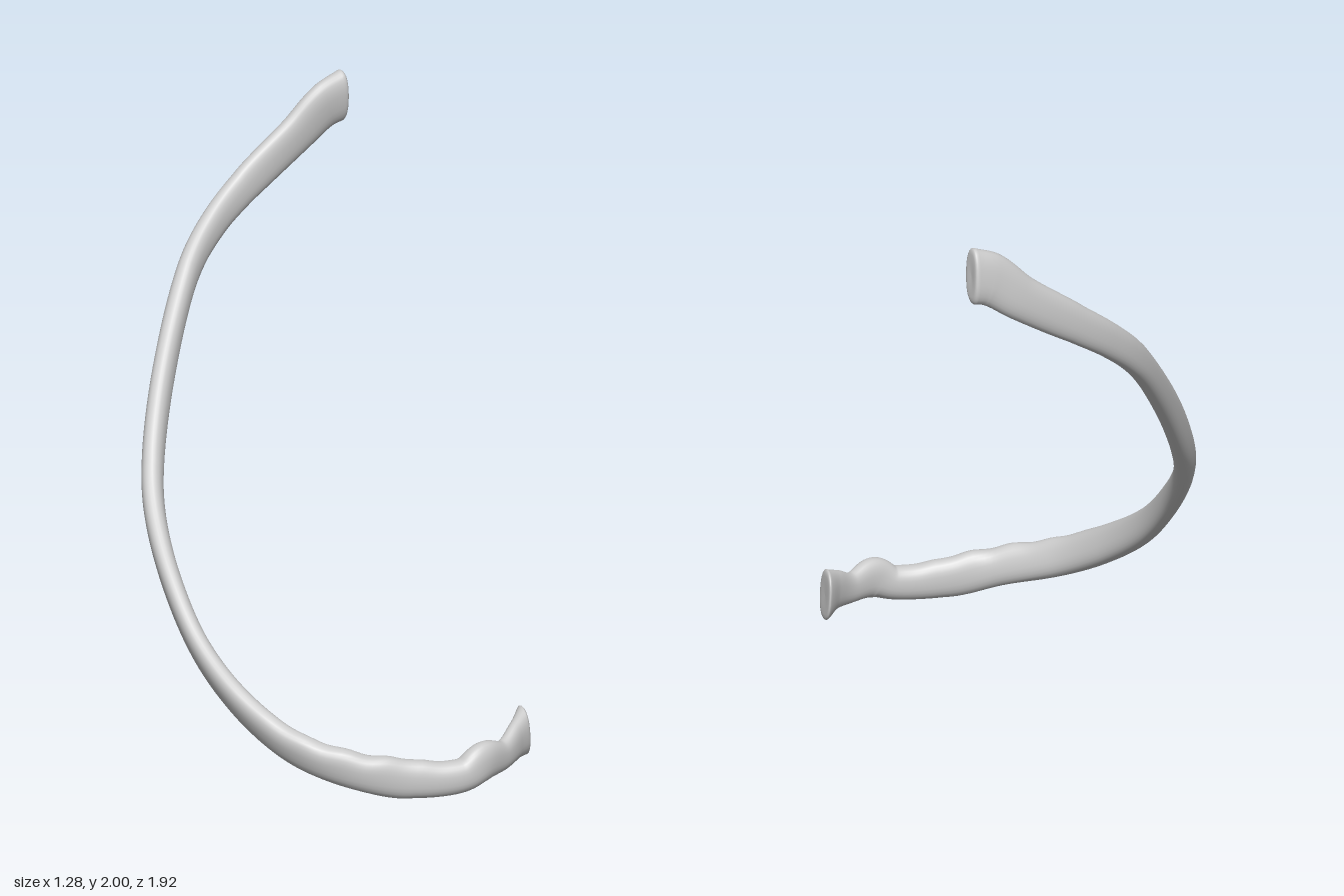
import * as THREE from 'three';

// Stations along the bone: x, y, z, half height, half thickness, outward lean, end skew
const STATIONS = [
  [0.165, 1.9, -0.917, 0.1, 0.042, -0.15, 0],
  [0.105, 1.877, -0.89, 0.094, 0.039, -0.15, 0],
  [0, 1.79, -0.845, 0.08, 0.036, -0.1, 0],
  [-0.2, 1.645, -0.735, 0.067, 0.035, 0, 0],
  [-0.315, 1.55, -0.645, 0.061, 0.036, 0, 0],
  [-0.412, 1.435, -0.53, 0.056, 0.037, 0, 0],
  [-0.533, 1.16, -0.27, 0.053, 0.037, 0.1, 0],
  [-0.6, 0.905, -0.04, 0.051, 0.037, 0.15, 0],
  [-0.608, 0.77, 0.1, 0.052, 0.037, 0.2, 0],
  [-0.572, 0.595, 0.3, 0.058, 0.036, 0.25, 0],
  [-0.49, 0.415, 0.5, 0.063, 0.037, 0.35, 0],
  [-0.36, 0.275, 0.69, 0.068, 0.04, 0.4, 0],
  [-0.2, 0.175, 0.83, 0.068, 0.042, 0.35, 0],
  [0, 0.115, 0.908, 0.069, 0.044, 0.15, 0],
  [0.2, 0.074, 0.904, 0.069, 0.044, 0, 0],
  [0.37, 0.07, 0.88, 0.06, 0.046, 0, 0],
  [0.445, 0.103, 0.845, 0.072, 0.041, 0, 0],
  [0.525, 0.094, 0.772, 0.055, 0.031, 0, 0],
  [0.583, 0.117, 0.69, 0.072, 0.032, 0, -0.4],
  [0.615, 0.125, 0.628, 0.09, 0.04, 0, -1],
];

function createBone() {
  const curve = (pick) => new THREE.CatmullRomCurve3(STATIONS.map((s) => new THREE.Vector3(...pick(s))));
  const path = curve((s) => [s[0], s[1], s[2]]);
  const size = curve((s) => [s[3], s[4], s[5]]);
  const last = STATIONS.length - 1;
  const steps = last * 10;
  const sides = 28;

  // Rings: position on the path, scale, push along the path (rounded caps at both ends)
  const cap = [[0, 0.009], [0.45, 0.011], [0.75, 0.012], [0.88, 0.01], [0.96, 0.006]];
  const rings = cap.map(([k, push]) => [0, k, -push]);
  for (let i = 0; i <= steps; i++) rings.push([i / steps, 1, 0]);
  cap.slice().reverse().forEach(([k, push]) => rings.push([1, k, push]));

  const positions = [];
  const index = [];
  const round = (v) => Math.sign(v) * Math.abs(v) ** 0.85;
  rings.forEach(([u, k, push], r) => {
    const c = path.getPoint(u);
    const t = path.getTangent(u);
    const { x: high, y: thick, z: lean } = size.getPoint(u);
    const f = u * last;
    const i = Math.min(Math.floor(f), last - 1);
    const skew = THREE.MathUtils.lerp(STATIONS[i][6], STATIONS[i + 1][6], f - i);

    // Section frame: up across the breadth, side pointing to the outer face;
    // the upper end is cut almost upright
    const out = new THREE.Vector3(-t.z, 0, t.x).normalize();
    const up = new THREE.Vector3(0, 1, 0).addScaledVector(out, lean);
    const upright = Math.max(0, 1 - f / 1.5) * 0.75;
    up.addScaledVector(t, -up.dot(t) * (1 - upright)).normalize();
    const side = t.clone().cross(up).normalize();

    // Slight roughness on the upper edge of the front part
    const rough = 0.004 * Math.sin(f * 9) * Math.exp(-(((f - 13) / 1.4) ** 2));
    for (let j = 0; j < sides; j++) {
      const a = (j / sides) * Math.PI * 2;
      const h = round(Math.cos(a)) * high + Math.max(0, Math.cos(a)) * rough;
      const w = round(Math.sin(a)) * thick;
      const p = c.clone()
        .addScaledVector(up, h * k)
        .addScaledVector(side, w * k)
        .addScaledVector(t, push + skew * w * k);
      positions.push(p.x, p.y, p.z);
      if (r < rings.length - 1) {
        const n = r * sides + j;
        const m = r * sides + ((j + 1) % sides);
        index.push(n, m, n + sides, m, m + sides, n + sides);
      }
    }
  });

  const geometry = new THREE.BufferGeometry();
  geometry.setAttribute('position', new THREE.Float32BufferAttribute(positions, 3));
  geometry.setIndex(index);
  geometry.computeVertexNormals();
  return geometry;
}

export function createModel() {
  const group = new THREE.Group();
  group.name = 'rib';
  const bone = new THREE.Mesh(createBone(), new THREE.MeshStandardMaterial({ color: 0xcccccc }));
  bone.name = 'ribBone';
  group.add(bone);
  return group;
}
